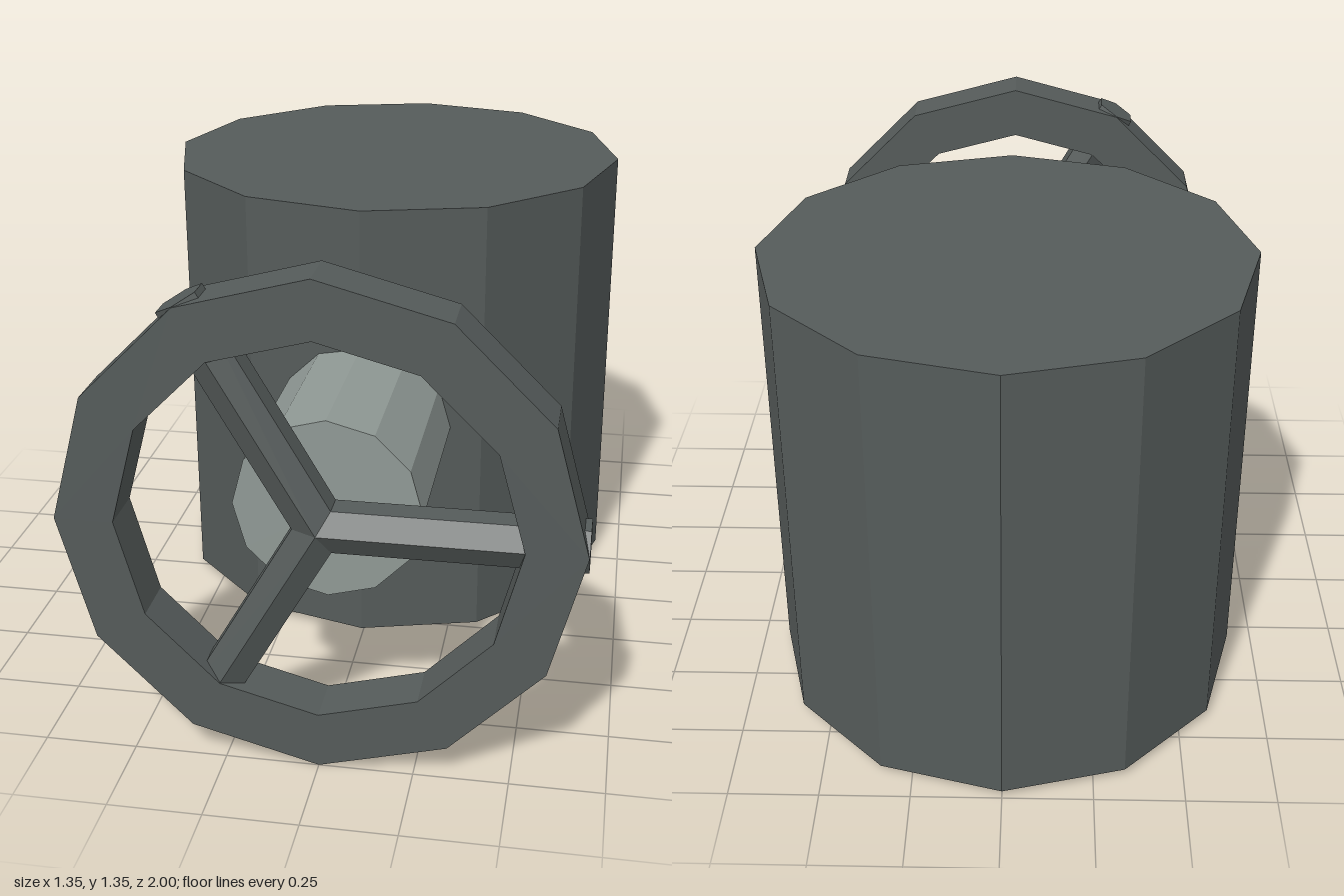
import * as THREE from 'three';

const SIDES = 12;
const AXIS_Y = 0.677;

// Regular polygon points with a vertex on each axis
function polygon(radius) {
  return Array.from({ length: SIDES }, (_, i) => {
    const a = (i / SIDES) * Math.PI * 2;
    return new THREE.Vector2(Math.cos(a) * radius, Math.sin(a) * radius);
  });
}

function material(name, color) {
  const m = new THREE.MeshStandardMaterial({ color });
  m.name = name;
  m.flatShading = true;
  return m;
}

export function createModel() {
  const model = new THREE.Group();
  model.name = 'valve';
  const darkMetal = material('darkMetal', 0x555b5a);
  const lightMetal = material('lightMetal', 0x909995);

  const add = (parent, name, geometry, mat, x, y, z) => {
    const mesh = new THREE.Mesh(geometry, mat);
    mesh.name = name;
    mesh.position.set(x, y, z);
    parent.add(mesh);
    return mesh;
  };

  // Upright drum body
  add(model, 'drum', new THREE.CylinderGeometry(0.675, 0.675, 1.3, SIDES), darkMetal, 0, AXIS_Y, -0.325);

  // Stem running from inside the drum towards the wheel
  const stem = new THREE.CylinderGeometry(0.25, 0.25, 0.745, SIDES).rotateX(Math.PI / 2);
  add(model, 'stem', stem, lightMetal, 0, AXIS_Y, 0.4725);

  // Hand wheel: faceted rim with three hexagonal spokes
  const wheel = new THREE.Group();
  wheel.name = 'handWheel';
  wheel.position.set(0, AXIS_Y, 0.93);
  model.add(wheel);

  const rimShape = new THREE.Shape(polygon(0.675));
  rimShape.holes.push(new THREE.Path(polygon(0.52)));
  const rim = new THREE.ExtrudeGeometry(rimShape, { depth: 0.14, bevelEnabled: false });
  add(wheel, 'rim', rim, darkMetal, 0, 0, -0.07);

  const spoke = new THREE.CylinderGeometry(0.067, 0.067, 0.676, 6)
    .translate(0, 0.338, 0)
    .rotateZ(-Math.PI / 2);
  for (let i = 0; i < 3; i++) {
    add(wheel, 'spoke', spoke, darkMetal, 0, 0, 0).rotation.z = (i * Math.PI * 2) / 3;
  }

  return model;
}
